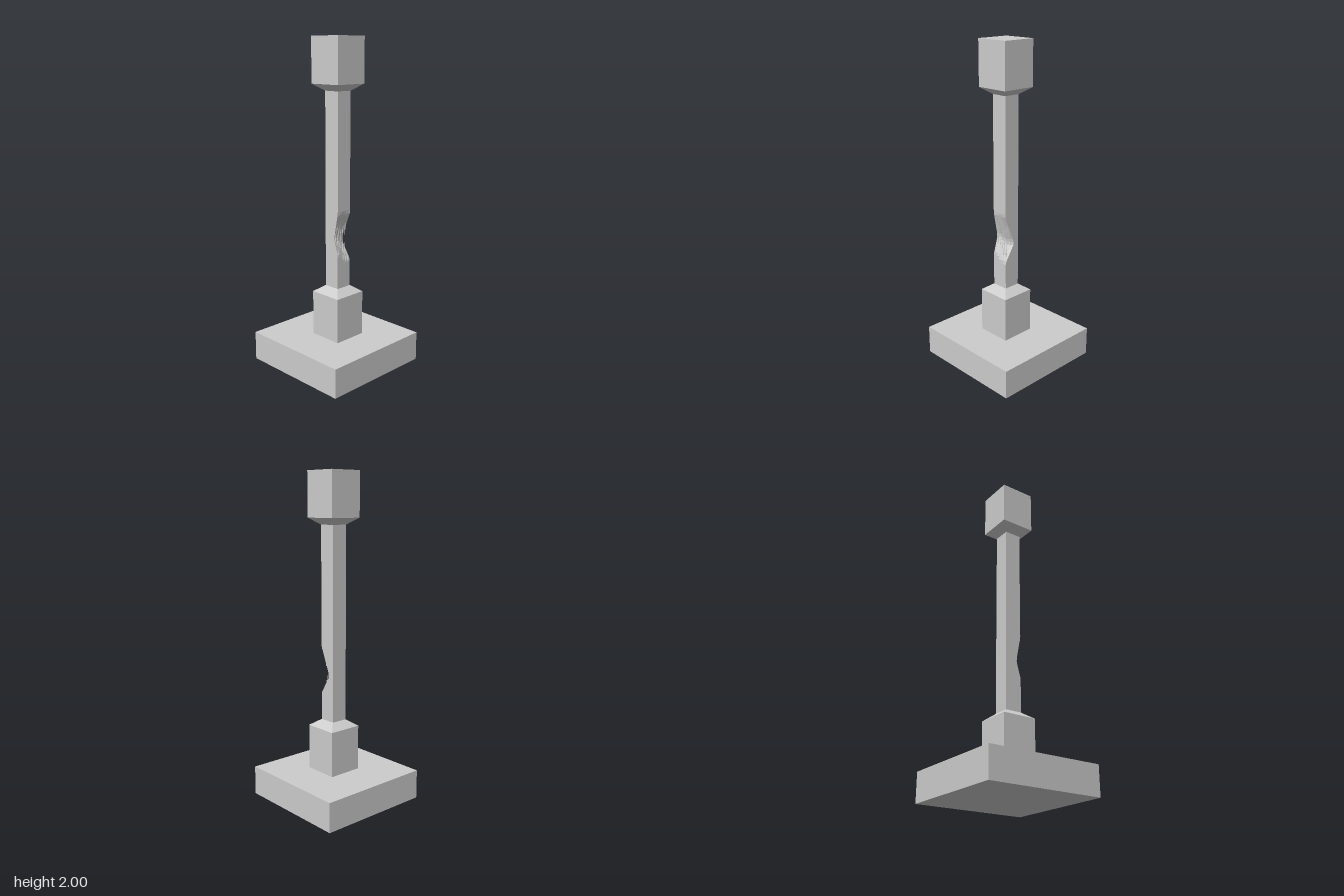
import * as THREE from 'three';

const material = new THREE.MeshStandardMaterial({ color: 0xcccccc, flatShading: true });
const CZ = 0.016; // the post stands slightly forward of the plinth centre
const HALF = 0.052; // half width of the shaft

function add(group, name, geometry, x, y, z) {
  const mesh = new THREE.Mesh(geometry, material);
  mesh.name = name;
  mesh.position.set(x, y, z);
  group.add(mesh);
  return mesh;
}

// Square frustum given by half widths and a vertical range
function squareBlock(group, name, top, bottom, y0, y1, z = CZ) {
  const g = new THREE.CylinderGeometry(top * Math.SQRT2, bottom * Math.SQRT2, y1 - y0, 4, 1);
  g.rotateY(Math.PI / 4);
  return add(group, name, g, 0, (y0 + y1) / 2, z);
}

const noise = (n) => {
  const s = Math.sin(n * 127.1 + 3.7) * 43758.5453;
  return s - Math.floor(s);
};

// Depth of the splintered bite in the front face, varied per grain column
function biteDepth(x, y) {
  const u = x / HALF;
  const n = noise(Math.round((u + 1) * 6));
  const low = 0.675 - 0.03 * u + 0.025 * n;
  const high = 0.975 - 0.015 * n;
  if (y <= low || y >= high) return 0;
  const t = (y - low) / (high - low);
  const curve = Math.min(1, t / 0.36, (1 - t) / 0.55);
  return curve * (0.046 + 0.014 * u + 0.012 * (n - 0.5));
}

// Shaft: a box with close rows around the bite, its front pushed in there
function brokenShaft(group) {
  const y0 = 0.5, y1 = 1.69, rows = 20;
  const g = new THREE.BoxGeometry(2 * HALF, rows, 2 * HALF, 12, rows, 1);
  const p = g.attributes.position;
  for (let i = 0; i < p.count; i++) {
    const row = Math.round(p.getY(i) + rows / 2);
    const y = row === 0 ? y0 : row === rows ? y1 : 0.64 + 0.34 * (row - 1) / (rows - 2);
    p.setY(i, y);
    if (p.getZ(i) > 0) p.setZ(i, HALF - biteDepth(p.getX(i), y));
  }
  g.computeVertexNormals();
  add(group, 'brokenShaft', g, 0, 0, CZ);
}

// Thin splinters hanging from the top and rising from the bottom of the bite
function splinters(group) {
  for (let i = 0; i < 10; i++) {
    const up = i % 2 === 0;
    const x = -0.042 + i * 0.0092;
    const length = 0.1 + 0.06 * noise(i + 20);
    const g = new THREE.ConeGeometry(0.008, length, 4, 1);
    if (!up) g.rotateX(Math.PI);
    const y = up ? 0.69 - 0.02 * x / HALF + length / 2 : 0.935 - length / 2;
    const z = CZ + 0.024 + 0.01 * (noise(i + 40) - 0.5);
    const mesh = add(group, 'splinter', g, x, y, z);
    mesh.rotation.x = up ? -0.08 : 0.06;
  }
}

export function createModel() {
  const group = new THREE.Group();
  group.name = 'brokenPost';

  add(group, 'plinth', new THREE.BoxGeometry(0.72, 0.18, 0.72), 0, 0.09, 0);

  // Lower and upper blocks with chamfers to the shaft
  squareBlock(group, 'lowerBlock', 0.108, 0.108, 0.18, 0.46);
  squareBlock(group, 'lowerChamfer', HALF, 0.108, 0.46, 0.5);
  squareBlock(group, 'upperChamfer', 0.108, HALF, 1.69, 1.73);
  squareBlock(group, 'upperBlock', 0.108, 0.108, 1.73, 2);

  brokenShaft(group);
  splinters(group);
  return group;
}
